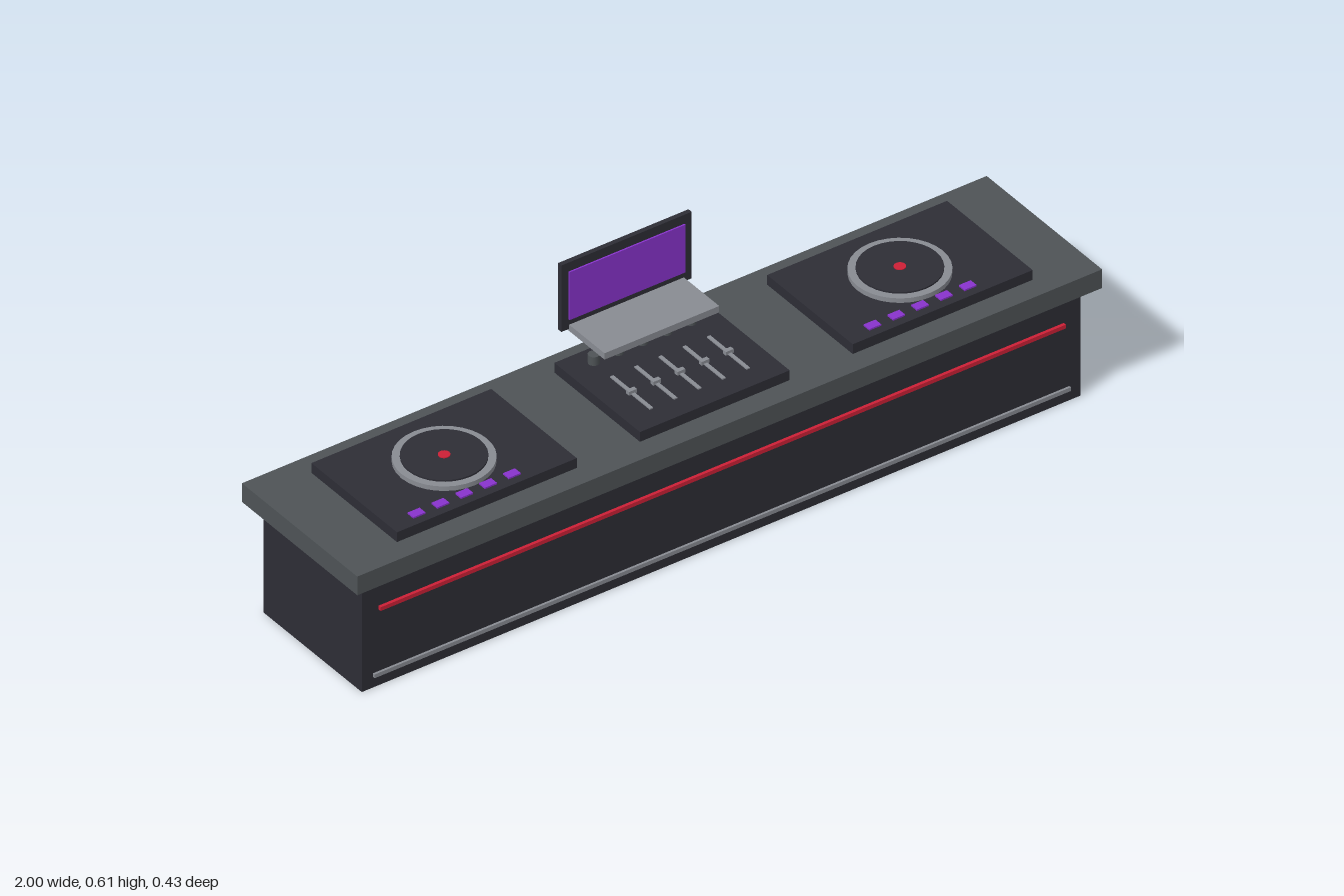
import * as THREE from 'three';

const mat = (name, color) => {
  const m = new THREE.MeshStandardMaterial({ color });
  m.name = name;
  return m;
};

export function createModel() {
  const dark = mat('charcoal', 0x2d2d35);
  const slate = mat('slate', 0x4e5356);
  const metal = mat('metal', 0x888b92);
  const purple = mat('purple', 0x8833cc);
  const red = mat('red', 0xcc2036);

  const model = new THREE.Group();
  model.name = 'djBooth';

  const add = (parent, name, geometry, material, x, y, z) => {
    const mesh = new THREE.Mesh(geometry, material);
    mesh.name = name;
    mesh.position.set(x, y, z);
    parent.add(mesh);
  };
  // Box given by its centre in x and z, and its bottom and top in y
  const box = (parent, name, material, w, d, y0, y1, x = 0, z = 0) =>
    add(parent, name, new THREE.BoxGeometry(w, y1 - y0, d), material, x, (y0 + y1) / 2, z);
  const disc = (parent, name, material, r, y0, y1, x = 0, z = 0, sides = 32) =>
    add(parent, name, new THREE.CylinderGeometry(r, r, y1 - y0, sides), material, x, (y0 + y1) / 2, z);
  const group = (name, x = 0) => {
    const g = new THREE.Group();
    g.name = name;
    g.position.x = x;
    model.add(g);
    return g;
  };

  // Counter with its front trims
  box(model, 'counterBody', dark, 1.93, 0.37, 0, 0.292);
  box(model, 'counterTop', slate, 2, 0.434, 0.292, 0.342);
  box(model, 'redLightStrip', red, 1.84, 0.012, 0.203, 0.213, 0, 0.187);
  box(model, 'footTrim', metal, 1.87, 0.01, 0.028, 0.038, 0, 0.186);

  // Two identical decks
  for (const [name, x] of [['rightDeck', -0.612], ['leftDeck', 0.612]]) {
    const deck = group(name, x);
    box(deck, 'deckCase', dark, 0.483, 0.322, 0.342, 0.368);
    disc(deck, 'platter', metal, 0.115, 0.366, 0.38);
    disc(deck, 'record', dark, 0.097, 0.378, 0.384);
    disc(deck, 'recordLabel', red, 0.014, 0.383, 0.386, 0, 0, 16);
    for (let i = 0; i < 5; i++) {
      box(deck, 'padButton', purple, 0.032, 0.022, 0.364, 0.372, -0.166 + i * 0.064, 0.129);
    }
  }

  // Mixer: a knob and a fader on each of five channels
  const mixer = group('mixer');
  box(mixer, 'mixerCase', dark, 0.402, 0.322, 0.342, 0.368);
  for (let i = -2; i <= 2; i++) {
    const x = i * 0.065;
    disc(mixer, 'knob', slate, 0.0135, 0.368, 0.391, x, -0.112, 16);
    box(mixer, 'faderTrack', metal, 0.009, 0.15, 0.366, 0.371, x, 0.03);
    box(mixer, 'faderCap', metal, 0.021, 0.011, 0.368, 0.378, x, 0.03);
  }

  // Open laptop
  const laptop = group('laptop');
  box(laptop, 'laptopBase', metal, 0.308, 0.145, 0.428, 0.445, 0, -0.1105);
  box(laptop, 'laptopLid', dark, 0.35, 0.012, 0.434, 0.612, 0, -0.177);
  box(laptop, 'laptopDisplay', purple, 0.312, 0.004, 0.46, 0.588, 0, -0.169);

  return model;
}
